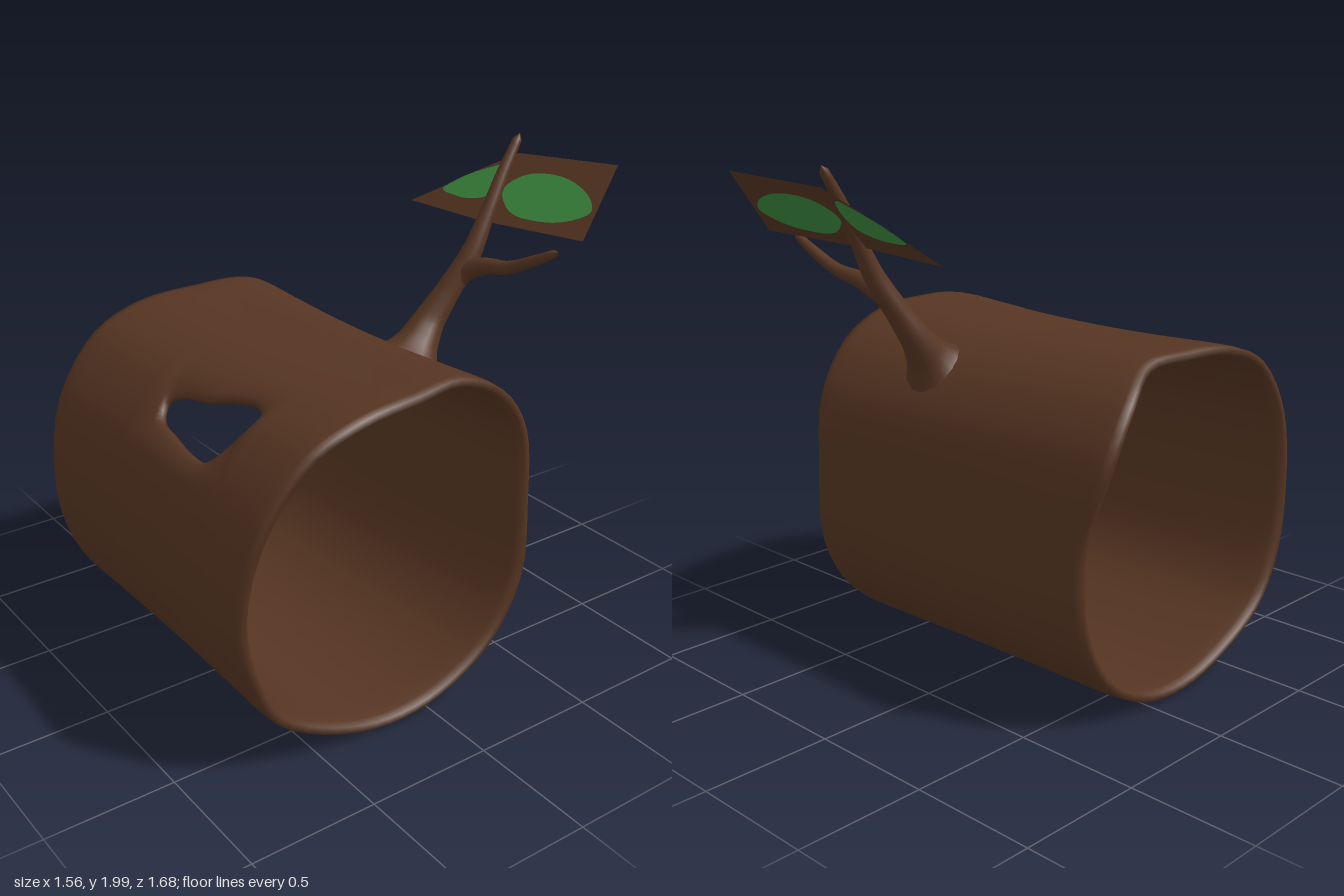
import * as THREE from 'three';
import { mergeVertices } from 'three/addons/utils/BufferGeometryUtils.js';

const V = (x, y, z) => new THREE.Vector3(x, y, z);
const WALL = 0.048;

// Log outline, from the bottom round the front: z, y, left end x, right end x
const OUTLINE = [
  [0.19, 0, -0.685, 0.69], [0.44, 0.063, -0.685, 0.69], [0.685, 0.21, -0.685, 0.69], [0.8, 0.42, -0.685, 0.71],
  [0.84, 0.68, -0.68, 0.695], [0.785, 1.01, -0.69, 0.74], [0.61, 1.25, -0.7, 0.765], [0.4, 1.34, -0.7, 0.775],
  [0.14, 1.358, -0.69, 0.755], [-0.08, 1.35, -0.69, 0.715], [-0.29, 1.25, -0.765, 0.7], [-0.435, 1.05, -0.78, 0.68],
  [-0.465, 0.75, -0.69, 0.68], [-0.445, 0.42, -0.685, 0.69], [-0.3, 0.17, -0.685, 0.69], [-0.06, 0.03, -0.685, 0.69],
];
const rimA = new THREE.CatmullRomCurve3(OUTLINE.map(([z, y, a]) => V(a, y * 0.985, z < 0 ? z * 0.9 : z)), true);
const rimB = new THREE.CatmullRomCurve3(OUTLINE.map(([z, y, , b]) => V(b, y, z)), true);

// Point on the log: s along it, t around it, depth below the surface; the middle is slightly waisted
function logPoint(s, t, depth) {
  t = ((t % 1) + 1) % 1;
  const p = rimA.getPoint(t).lerp(rimB.getPoint(t), s);
  const out = V(0, p.y - 0.67, p.z - 0.19).normalize();
  const waist = 0.026 * Math.sin(Math.PI * s) * (1 - Math.max(0, -out.y));
  return p.addScaledVector(out, -depth - waist);
}
// The wall thins towards both ends, mostly from the inside
const nearEnd = (s) => Math.exp(-s * 45) + Math.exp(-(1 - s) * 45);
const skin = (s) => 0.008 * nearEnd(s);
const lining = (s) => WALL - 0.012 * nearEnd(s);

function logGeometry() {
  const pos = [];
  const quad = (a, b, c, d) => [a, b, c, a, c, d].forEach((p) => pos.push(p.x, p.y, p.z));
  const NS = 44, NT = 64, i0 = 15, i1 = 35, j0 = 20, j1 = 28;

  // Outer skin and inner lining joined into one closed loop
  const rows = [];
  for (let i = 0; i <= NS; i++) rows.push([i / NS, skin(i / NS)]);
  for (let i = NS; i >= 0; i--) rows.push([i / NS, lining(i / NS)]);
  const grid = rows.map(([s, d]) => Array.from({ length: NT + 1 }, (_, j) => logPoint(s, j / NT, d)));
  for (let r = 0; r < rows.length; r++) {
    const n = (r + 1) % rows.length;
    const cell = r <= NS ? r : 2 * NS - r;
    for (let j = 0; j < NT; j++) {
      if (cell >= i0 && cell < i1 && j >= j0 && j < j1) continue;
      quad(grid[r][j], grid[n][j], grid[n][j + 1], grid[r][j + 1]);
    }
  }

  // Knothole: rings from the opening in the grid to the hole edge, then through the wall
  const border = [];
  for (let i = i0; i < i1; i++) border.push([i / NS, j0 / NT]);
  for (let j = j0; j < j1; j++) border.push([i1 / NS, j / NT]);
  for (let i = i1; i > i0; i--) border.push([i / NS, j1 / NT]);
  for (let j = j1; j > j0; j--) border.push([i0 / NS, j / NT]);
  const K = border.length;
  const edge = new THREE.CatmullRomCurve3([
    [-0.07, 1.125], [0.04, 1.105], [0.2, 1.09], [0.29, 1.1], [0.355, 1.17], [0.37, 1.25],
    [0.3, 1.283], [0.2, 1.263], [0.08, 1.215], [-0.05, 1.19], [-0.095, 1.16],
  ].map(([x, y]) => V((x + 0.69) / 1.435, (5.34 + (y - 1.09) * 5.6) / 16, 0)), true).getPoints(K);
  const R = 6;
  const rings = [];
  for (let r = 0; r <= 2 * R + 1; r++) {
    const inner = r > R;
    const f = (inner ? 2 * R + 1 - r : r) / R;
    rings.push(border.map(([s, t], k) => {
      const u = s + (edge[k].x - s) * f, v = t + (edge[k].y - t) * f;
      return logPoint(u, v, inner ? lining(u) : skin(u) + 0.026 * f ** 3);
    }));
  }
  for (let r = 0; r < rings.length - 1; r++) {
    for (let k = 0; k < K; k++) {
      const m = (k + 1) % K;
      quad(rings[r][k], rings[r][m], rings[r + 1][m], rings[r + 1][k]);
    }
  }

  let geo = new THREE.BufferGeometry();
  geo.setAttribute('position', new THREE.Float32BufferAttribute(pos, 3));
  geo = mergeVertices(geo, 1e-4);
  geo.computeVertexNormals();
  return geo;
}

// Tube whose radius follows the fourth number of each path point, closed at the tip
function taperedTube(points, segments = 40, sides = 14) {
  const path = new THREE.CatmullRomCurve3(points.map(([x, y, z]) => V(x, y, z)));
  let geo = new THREE.TubeGeometry(path, segments, 1, sides, false);
  const pos = geo.attributes.position, p = V(0, 0, 0);
  for (let i = 0; i <= segments; i++) {
    const u = i / segments;
    const centre = path.getPointAt(u);
    const q = path.getUtoTmapping(u) * (points.length - 1);
    const a = Math.min(Math.floor(q), points.length - 2);
    const radius = i === segments ? 0.001 : THREE.MathUtils.lerp(points[a][3], points[a + 1][3], q - a);
    for (let j = 0; j <= sides; j++) {
      const n = i * (sides + 1) + j;
      p.fromBufferAttribute(pos, n).sub(centre).multiplyScalar(radius).add(centre);
      pos.setXYZ(n, p.x, p.y, p.z);
    }
  }
  geo.deleteAttribute('uv');
  geo.deleteAttribute('normal');
  geo = mergeVertices(geo, 1e-5);
  geo.computeVertexNormals();
  return geo;
}

// Flat shape leaned back behind the branch, turned a little by its sideways slope
function leanedShape(shape, slope) {
  const geo = new THREE.ShapeGeometry(shape, 6);
  const pos = geo.attributes.position;
  for (let i = 0; i < pos.count; i++) {
    pos.setZ(i, -0.585 - 0.84 * (pos.getY(i) - 1.69) + slope * (pos.getX(i) - 0.2));
  }
  geo.computeVertexNormals();
  return geo;
}

export function createModel() {
  const bark = new THREE.MeshStandardMaterial({ color: 0x563522, side: THREE.DoubleSide });
  bark.name = 'bark brown';
  const green = new THREE.MeshStandardMaterial({ color: 0x3c893f, side: THREE.DoubleSide });
  green.name = 'leaf green';

  const model = new THREE.Group();
  model.name = 'hollowLog';
  const add = (name, geo, mat) => {
    const mesh = new THREE.Mesh(geo, mat);
    mesh.name = name;
    model.add(mesh);
  };

  add('log', logGeometry(), bark);

  // Branch flaring out of the log, with one side twig
  add('branch', taperedTube([
    [0.2, 1.185, -0.245, 0.145], [0.198, 1.215, -0.27, 0.112], [0.193, 1.26, -0.305, 0.082], [0.187, 1.33, -0.36, 0.062],
    [0.2, 1.43, -0.43, 0.049], [0.224, 1.57, -0.52, 0.041], [0.222, 1.7, -0.59, 0.03],
    [0.205, 1.86, -0.685, 0.024], [0.19, 1.993, -0.775, 0.016],
  ]), bark);
  add('twig', taperedTube([
    [0.215, 1.47, -0.46, 0.03], [0.25, 1.525, -0.5, 0.04], [0.32, 1.555, -0.515, 0.032], [0.43, 1.577, -0.525, 0.025],
    [0.55, 1.632, -0.535, 0.021], [0.665, 1.695, -0.54, 0.014],
  ], 24), bark);

  // Leaves: brown sheets either side of the branch, each with a green leaf set flush into it
  [
    {
      side: 'right', slope: 0.06,
      sheet: [[-0.22, 1.67], [0.2, 1.69], [0.19, 1.918]],
      leaf: [[-0.09, 1.74], [-0.03, 1.79], [0.08, 1.845], [0.165, 1.872], [0.188, 1.82], [0.165, 1.77], [0.09, 1.742], [0, 1.733]],
    },
    {
      side: 'left', slope: -0.1,
      sheet: [[0.2, 1.69], [0.67, 1.715], [0.627, 1.952], [0.19, 1.918]],
      leaf: [[0.217, 1.8], [0.27, 1.855], [0.4, 1.88], [0.52, 1.867], [0.61, 1.83], [0.632, 1.8], [0.56, 1.757], [0.45, 1.735], [0.3, 1.74]],
    },
  ].forEach(({ side, slope, sheet, leaf }) => {
    const curve = new THREE.CatmullRomCurve3(leaf.map(([x, y]) => V(x, y, 0)), true);
    const outline = curve.getPoints(36).slice(0, -1).map((p) => new THREE.Vector2(p.x, p.y));
    const shape = new THREE.Shape(sheet.map(([x, y]) => new THREE.Vector2(x, y)));
    shape.holes.push(new THREE.Path(outline));
    add(side + 'LeafSheet', leanedShape(shape, slope), bark);
    add(side + 'Leaf', leanedShape(new THREE.Shape(outline), slope), green);
  });

  return model;
}
